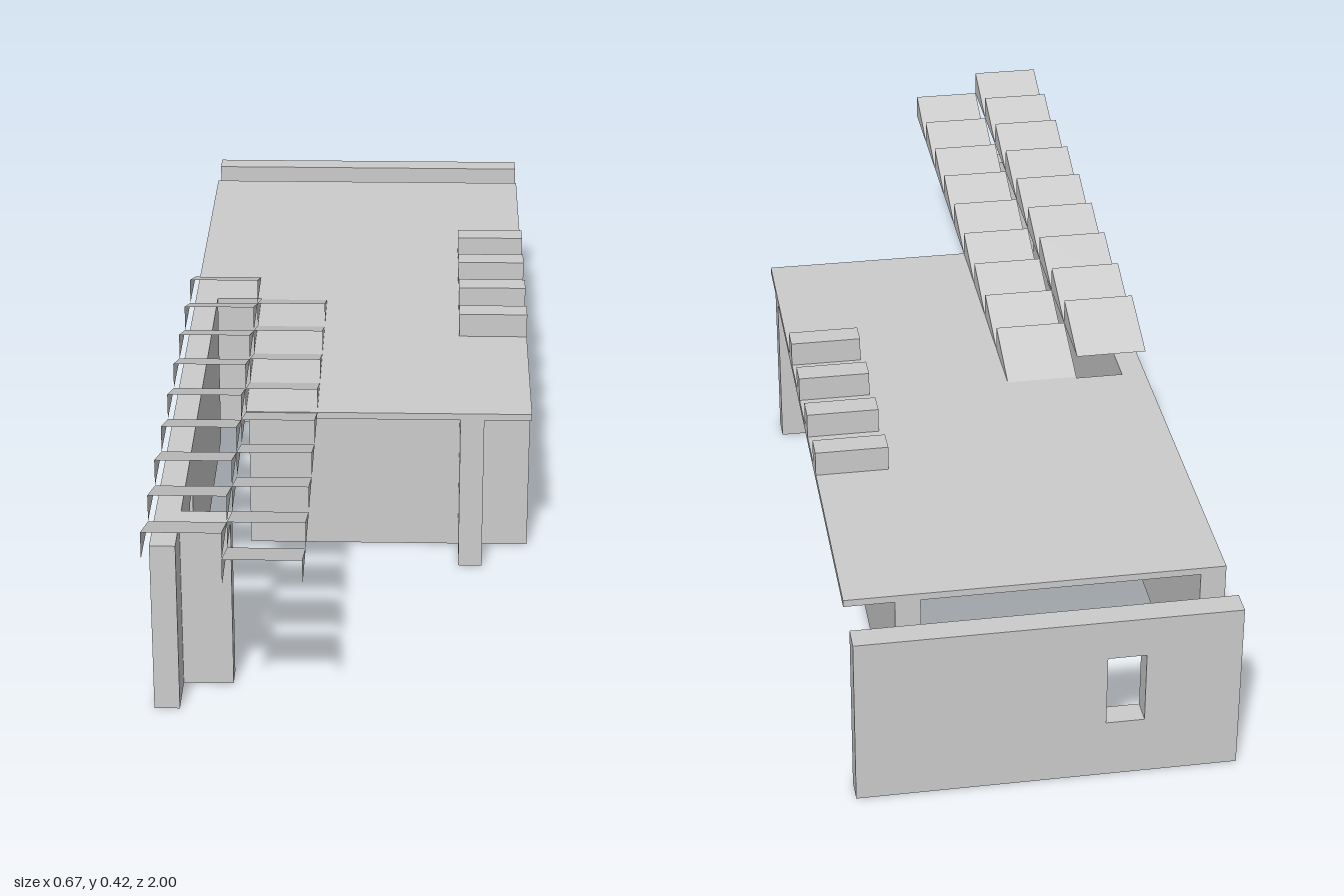
import * as THREE from 'three';

const material = new THREE.MeshStandardMaterial({ color: 0xcccccc, flatShading: true });
const thinMaterial = new THREE.MeshStandardMaterial({ color: 0xcccccc, flatShading: true, side: THREE.DoubleSide });

const U = 0.1333;   // planning module
const W = 0.333;    // half width of the house
const T = 0.0445;   // wall thickness
const TOP = 0.32;   // top of the roof slab and of the free-standing walls
const EAVE = 0.307; // underside of the roof slab

export function createModel() {
  const group = new THREE.Group();

  function add(name, geometry, mat = material) {
    const mesh = new THREE.Mesh(geometry, mat);
    mesh.name = name;
    group.add(mesh);
    return mesh;
  }

  // Box between two limits on each axis
  function box(name, x0, x1, y0, y1, z0, z1) {
    add(name, new THREE.BoxGeometry(x1 - x0, y1 - y0, z1 - z0))
      .position.set((x0 + x1) / 2, (y0 + y1) / 2, (z0 + z1) / 2);
  }

  // Wall in the xy plane with a window hole, thickness along +z
  function windowWall(name, a0, a1, w0, w1) {
    const shape = new THREE.Shape([[a0, 0], [a1, 0], [a1, TOP], [a0, TOP]].map(p => new THREE.Vector2(...p)));
    shape.holes.push(new THREE.Path([[w0, 0.11], [w0, 0.245], [w1, 0.245], [w1, 0.11]].map(p => new THREE.Vector2(...p))));
    return add(name, new THREE.ExtrudeGeometry(shape, { depth: T, bevelEnabled: false }));
  }

  // Free-standing back wall and long side wall, each with one window
  windowWall('backWall', -W, W, -0.167, -0.1).position.z = -1;
  const longWall = windowWall('longSideWall', -0.2, 0.867, 0.5, 0.567);
  longWall.rotation.y = -Math.PI / 2; // wall length runs along z
  longWall.position.x = -W + T;
  box('longWallFin', -W + T, -0.2, 0, TOP, 0.737, 0.78);

  // Walls under the roof
  box('frontRoomSideWall', 0.2, 0.2 + T, 0, EAVE, -0.067, W);
  box('frontRoomFin', 0.2 + T, W, 0, EAVE, 0.2, 0.2 + T);
  box('frontWall', -0.2, 0.2, 0, EAVE, 0.2, 0.2 + T);
  box('backRoomLeftWall', 0.2, 0.2 + T, 0, EAVE, -0.867, -W);
  box('backRoomRightWall', -W, -W + T, 0, EAVE, -0.867, -W);
  box('backRoomFin', -W, -0.2, 0, EAVE, -W, -W + T);

  // Roof slab, notched beside the long wall
  const outline = [[-W, 0.867], [-W, 0.2], [-0.2, 0.2], [-0.2, -W], [W, -W], [W, 0.867]];
  const roof = add('roofSlab', new THREE.ExtrudeGeometry(
    new THREE.Shape(outline.map(p => new THREE.Vector2(...p))), { depth: TOP - EAVE, bevelEnabled: false }));
  roof.rotation.x = -Math.PI / 2; // shape y becomes -z
  roof.position.y = EAVE;

  // Row of roof blocks
  for (let i = 0; i < 4; i++) {
    const z = -0.467 + i * U;
    box('roofBlock', 0.2, W, TOP, 0.367, z, z + T);
  }

  // Open hood: sloping top with two triangular cheeks, open at front and below
  function hoodGeometry(h) {
    const p = [
      0, 0, 0, U, 0, 0,   // low back edge
      0, h, U, U, h, U,   // high front edge
      0, 0, U, U, 0, U,   // lower front corners
    ];
    const g = new THREE.BufferGeometry();
    g.setAttribute('position', new THREE.Float32BufferAttribute(p, 3));
    g.setIndex([0, 2, 3, 0, 3, 1, 0, 4, 2, 1, 3, 5]);
    const flat = g.toNonIndexed();
    flat.computeVertexNormals();
    return flat;
  }

  // Two stepped columns of nine hoods
  const columns = [[-W, 0.367, 0.049], [-0.2, 0.3185, 0.0485]];
  for (const [x, y, h] of columns) {
    const geometry = hoodGeometry(h);
    for (let i = 0; i < 9; i++) add('lightHood', geometry, thinMaterial).position.set(x, y, -0.2 + i * U);
  }

  return group;
}
